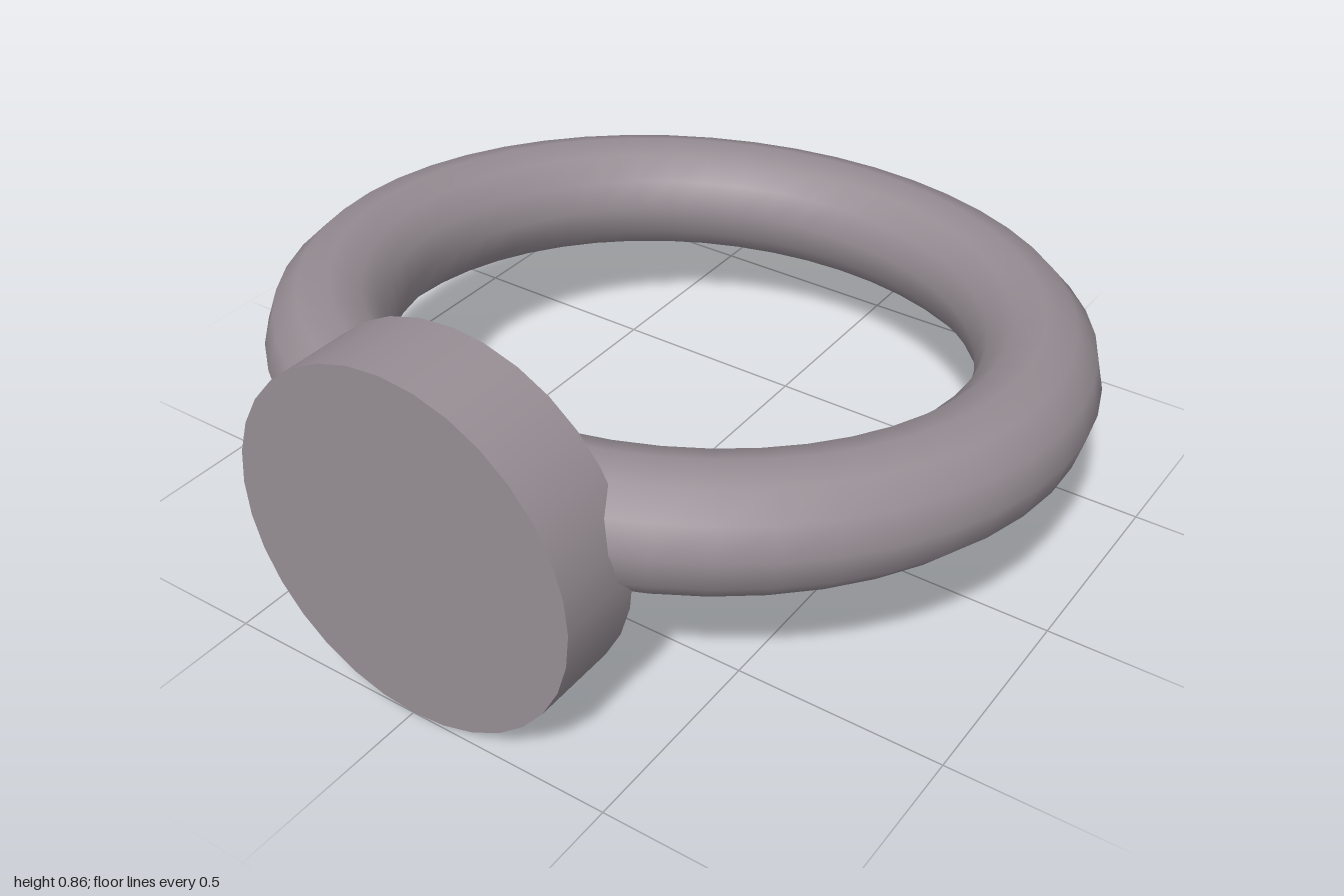
import * as THREE from 'three';

export function createModel() {
  const group = new THREE.Group();
  const metal = new THREE.MeshStandardMaterial({ color: 0x978e94 });
  metal.name = 'warm grey metal';

  // Ring lying almost flat, its front edge tilted slightly upward
  const ringGeometry = new THREE.TorusGeometry(0.833, 0.147, 12, 48);
  ringGeometry.rotateX(Math.PI / 2 - 0.1);
  const ring = new THREE.Mesh(ringGeometry, metal);
  ring.name = 'ringBand';
  ring.position.set(0, 0.433, -0.025);
  group.add(ring);

  // Upright round plate on the front of the ring
  const plateGeometry = new THREE.CylinderGeometry(0.43, 0.43, 0.21, 32);
  plateGeometry.rotateX(Math.PI / 2);
  const plate = new THREE.Mesh(plateGeometry, metal);
  plate.name = 'roundFacePlate';
  plate.position.set(0, 0.43, 0.895);
  group.add(plate);

  return group;
}
